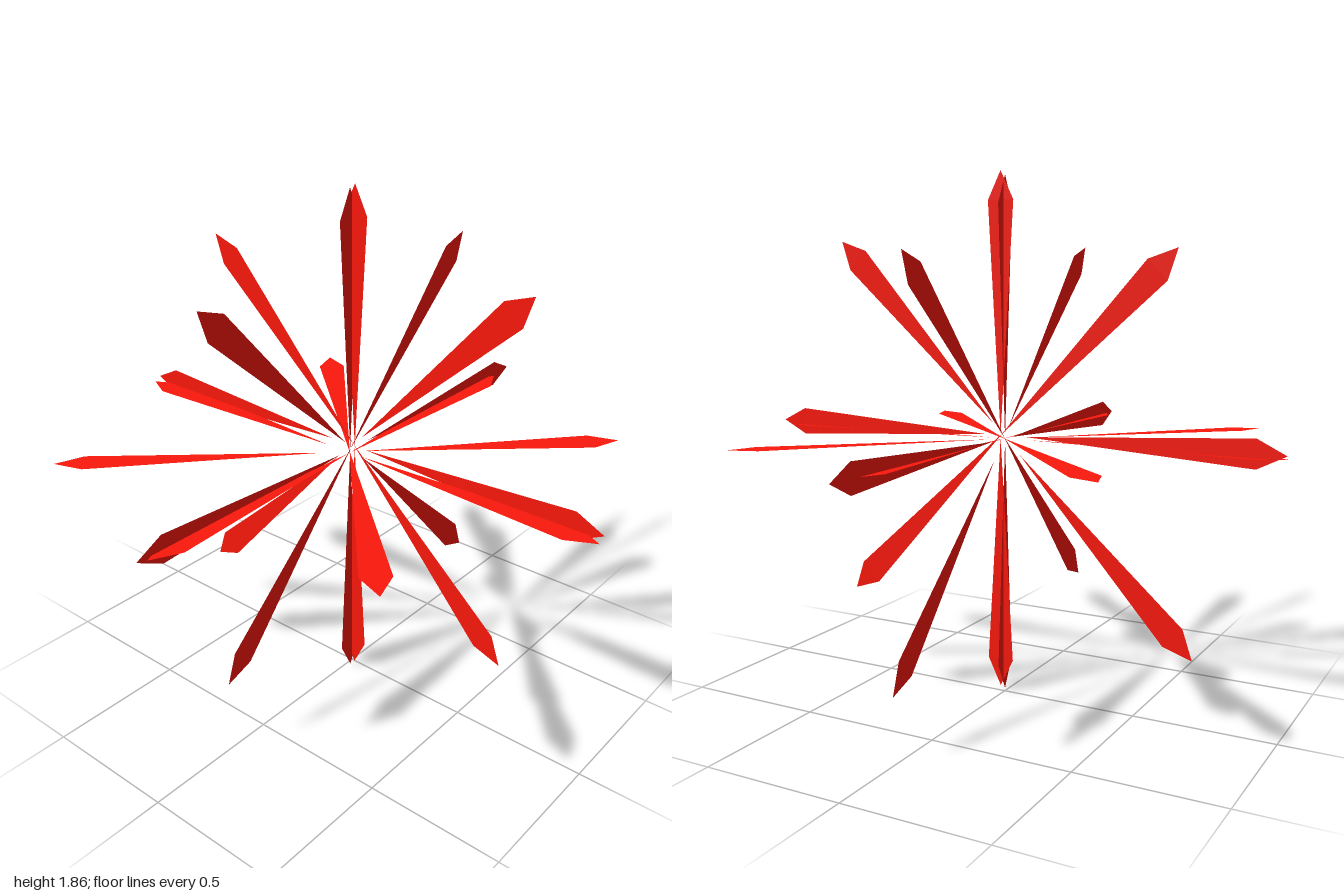
import * as THREE from 'three';

// Each blade of a flat burst: direction in degrees, then its inner point (u, v)
const BLADES = [
  [0, 0.055, 0], [45, 0.028, 0.04], [90, 0, 0.002], [135, 0, 0],
  [180, -0.102, 0], [225, -0.077, -0.066], [270, 0, -0.007], [315, -0.009, 0.009],
];

// Slim kite: needle point at the centre, shoulders near the outer tip
function bladeGeometry() {
  const shape = new THREE.Shape();
  shape.moveTo(0, 0);
  shape.lineTo(0.82, -0.05);
  shape.lineTo(0.92, 0);
  shape.lineTo(0.82, 0.05);
  shape.closePath();
  return new THREE.ShapeGeometry(shape);
}

export function createModel() {
  const model = new THREE.Group();
  model.name = 'starburst';
  const red = new THREE.MeshStandardMaterial({ color: 0xfa180c, side: THREE.DoubleSide });
  const blade = bladeGeometry();

  // One flat burst of eight blades
  const addBurst = (name, position, rotation) => {
    const burst = new THREE.Group();
    burst.name = name;
    BLADES.forEach(([angle, u, v], i) => {
      const mesh = new THREE.Mesh(blade, red);
      mesh.name = `blade${i + 1}`;
      mesh.position.set(u, v, 0);
      mesh.rotation.z = THREE.MathUtils.degToRad(angle);
      burst.add(mesh);
    });
    burst.position.set(...position);
    burst.rotation.set(...rotation);
    model.add(burst);
  };

  // Three bursts in mutually perpendicular planes
  addBurst('frontBurst', [0.025, 0.937, 0.015], [0, 0, 0]);
  addBurst('sideBurst', [0.013, 0.924, 0.026], [0, -Math.PI / 2, 0]);
  addBurst('levelBurst', [0.025, 0.922, 0.042], [-Math.PI / 2, 0, 0]);

  return model;
}
